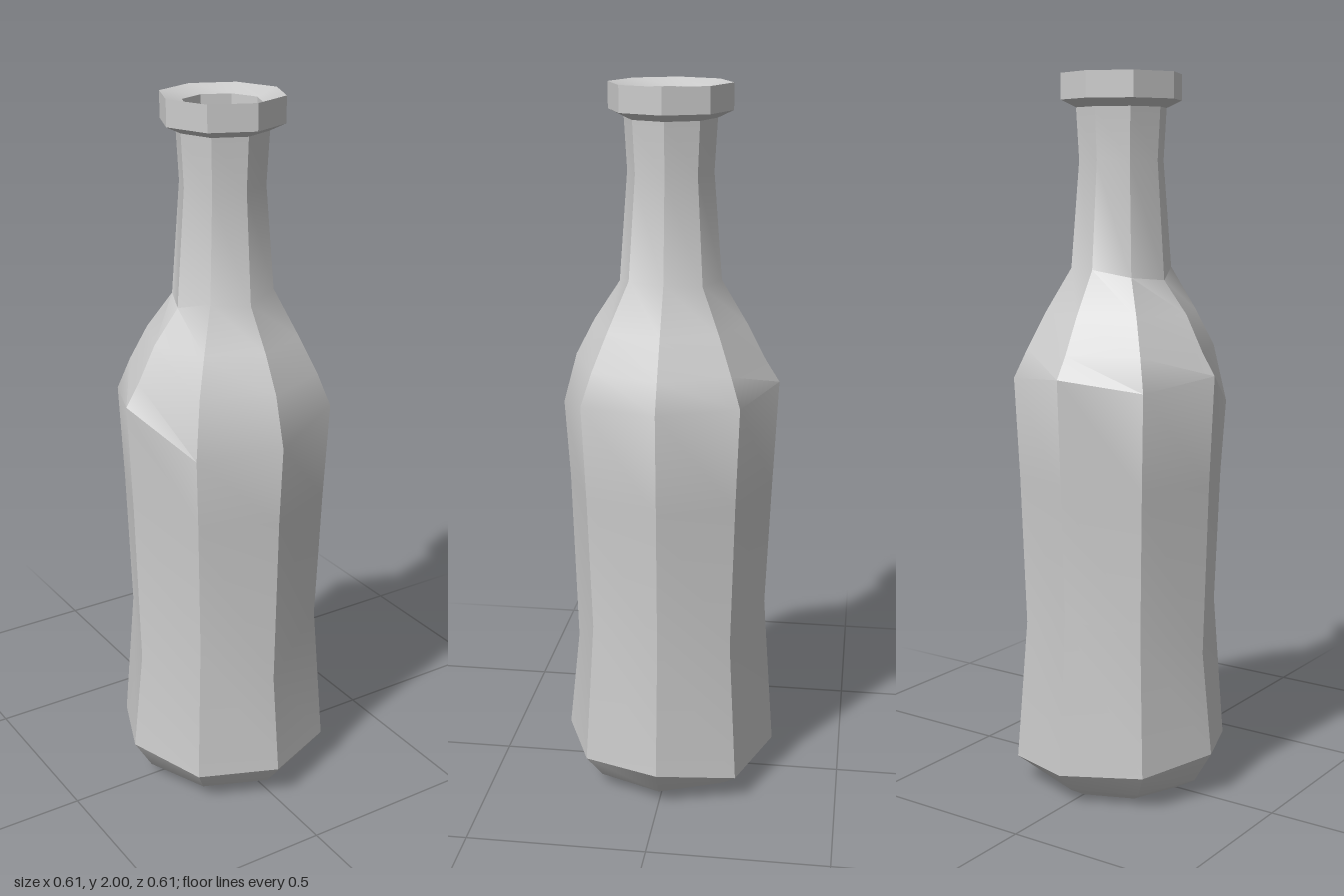
import * as THREE from 'three';
import { toCreasedNormals } from 'three/addons/utils/BufferGeometryUtils.js';

const SIDES = 8;

// Uneven rings: height of each corner, starting at the front (+z) and turning towards +x
const BASE = [0.11, 0.11, 0.12, 0.08, 0.10, 0.11, 0.13, 0.11];
const WAIST = [0.40, 0.52, 0.50, 0.48, 0.54, 0.50, 0.42, 0.52];
const SHOULDER = [1.12, 1.17, 1.18, 1.18, 1.20, 1.17, 1.20, 1.10];
const NECK = [1.47, 1.49, 1.49, 1.48, 1.48, 1.46, 1.45, 1.48];

// Profile rings: [radius, height, optional corner heights]
const PROFILE = [
  // underside and rounded foot
  [0, 0.005], [0.19, 0.005], [0.25, 0.04], [0.304, 0.11, BASE],
  // body with a pinched waist
  [0.273, 0.48, WAIST], [0.288, 0.9], [0.302, 1.17, SHOULDER],
  // sloping shoulder
  [0.264, 1.26], [0.212, 1.36],
  // neck
  [0.14, 1.475, NECK], [0.117, 1.77], [0.125, 1.91],
  // lip
  [0.167, 1.93], [0.167, 2.0],
  // mouth, closed by a floor inside the neck
  [0.107, 1.98], [0.105, 1.89], [0, 1.89],
];

function bottleGeometry() {
  const points = PROFILE.map(([r, y]) => new THREE.Vector2(r, y));
  const geometry = new THREE.LatheGeometry(points, SIDES);
  const position = geometry.attributes.position;

  // Shift the corners of the uneven rings up or down
  PROFILE.forEach(([, , heights], ring) => {
    if (!heights) return;
    for (let i = 0; i <= SIDES; i++) {
      position.setY(i * PROFILE.length + ring, heights[i % SIDES]);
    }
  });
  return toCreasedNormals(geometry, THREE.MathUtils.degToRad(30));
}

export function createModel() {
  const group = new THREE.Group();
  group.name = 'bottle';
  const material = new THREE.MeshStandardMaterial({ color: 0xcccccc });
  const body = new THREE.Mesh(bottleGeometry(), material);
  body.name = 'bottleBody';
  group.add(body);
  return group;
}
